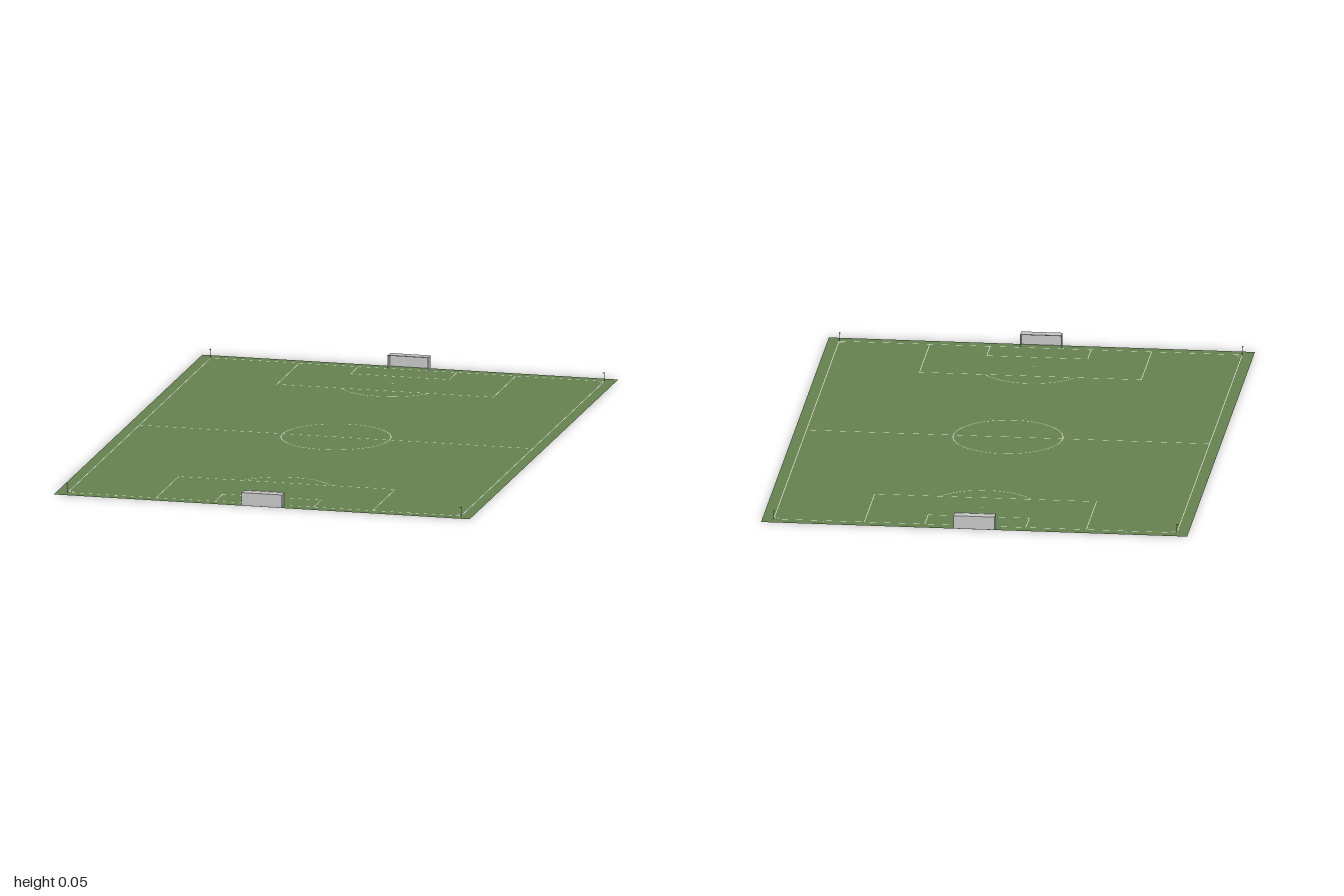
import * as THREE from 'three';

const mat = (name, color) => {
  const m = new THREE.MeshStandardMaterial({ color, side: THREE.DoubleSide });
  m.name = name;
  return m;
};

export function createModel() {
  const grass = mat('grass green', 0x668250);
  const white = mat('line white', 0xf4f4f0);
  const net = mat('net grey', 0xc6c6c6);
  const pole = mat('pole grey', 0x8c8c8c);

  const model = new THREE.Group();
  model.name = 'footballPitch';
  const add = (parent, name, geo, material, x = 0, y = 0, z = 0) => {
    const mesh = new THREE.Mesh(geo, material);
    mesh.name = name;
    mesh.position.set(x, y, z);
    parent.add(mesh);
    return mesh;
  };

  // Flat helpers lying on the grass
  const W = 0.0022, LY = 0.0004;
  const SX = 0.667, SZ = 0.963, R = 0.181;
  const flat = (w, d) => new THREE.PlaneGeometry(w, d).rotateX(-Math.PI / 2);
  const line = (name, x1, z1, x2, z2) =>
    add(model, name, flat(Math.abs(x2 - x1) + W, Math.abs(z2 - z1) + W), white, (x1 + x2) / 2, LY, (z1 + z2) / 2);
  const arc = (name, x, z, r, start, length, segments = 48) =>
    add(model, name, new THREE.RingGeometry(r - W / 2, r + W / 2, segments, 1, start, length).rotateX(-Math.PI / 2), white, x, LY, z);
  const spot = (name, x, z) =>
    add(model, name, new THREE.CircleGeometry(0.003, 12).rotateX(-Math.PI / 2), white, x, LY, z);

  // Grass and centre markings
  add(model, 'grass', flat(1.41, 2), grass);
  line('halfwayLine', -SX, 0, SX, 0);
  arc('centreCircle', 0, 0, R, 0, Math.PI * 2, 64);
  spot('centreSpot', 0, 0);
  for (const s of [-1, 1]) line('touchLine', s * SX, -SZ, s * SX, SZ);

  // Markings at each end
  for (const s of [-1, 1]) {
    line('goalLine', -SX, s * SZ, SX, s * SZ);
    for (const [name, hw, z] of [['penaltyArea', 0.367, 0.66], ['goalArea', 0.167, 0.862]]) {
      line(name + 'Front', -hw, s * z, hw, s * z);
      for (const side of [-1, 1]) line(name + 'Side', side * hw, s * z, side * hw, s * SZ);
    }
    spot('penaltySpot', 0, s * 0.761);
    const half = Math.acos(0.101 / R);
    arc('penaltyArc', 0, s * 0.761, R, s * Math.PI / 2 - half, half * 2);

    // Corner arcs, distance marks and flags
    for (const side of [-1, 1]) {
      const mid = Math.atan2(s, -side);
      arc('cornerArc', side * SX, s * SZ, 0.018, mid - Math.PI / 4, Math.PI / 2, 12);
      line('distanceMark', side * 0.5, s * 0.968, side * 0.5, s * 0.977);
      const flag = new THREE.Group();
      flag.name = 'cornerFlag';
      flag.position.set(side * SX, 0, s * SZ);
      add(flag, 'flagPole', new THREE.CylinderGeometry(0.0008, 0.0008, 0.031, 8), pole, 0, 0.0155, 0);
      const cloth = new THREE.Shape([[0, 0.031], [-0.007, 0.0285], [0, 0.026]].map(p => new THREE.Vector2(...p)));
      add(flag, 'flagCloth', new THREE.ShapeGeometry(cloth), pole);
      model.add(flag);
    }

    // Goal: frame at the goal line, net box behind it, mouth towards the centre
    const goal = new THREE.Group();
    goal.name = 'goal';
    const hw = 0.068, h = 0.044, d = 0.034, r = 0.0012;
    for (const side of [-1, 1]) {
      add(goal, 'goalPost', new THREE.CylinderGeometry(r, r, h, 10), white, side * hw, h / 2, 0);
      add(goal, 'netSide', new THREE.PlaneGeometry(d, h).rotateY(Math.PI / 2), net, side * hw, h / 2, d / 2);
    }
    add(goal, 'crossbar', new THREE.CylinderGeometry(r, r, hw * 2 + r * 2, 10).rotateZ(Math.PI / 2), white, 0, h, 0);
    add(goal, 'netBack', new THREE.PlaneGeometry(hw * 2, h), net, 0, h / 2, d);
    add(goal, 'netTop', flat(hw * 2, d), net, 0, h, d / 2);
    goal.position.z = s * 0.965;
    if (s < 0) goal.rotation.y = Math.PI;
    model.add(goal);
  }
  return model;
}
